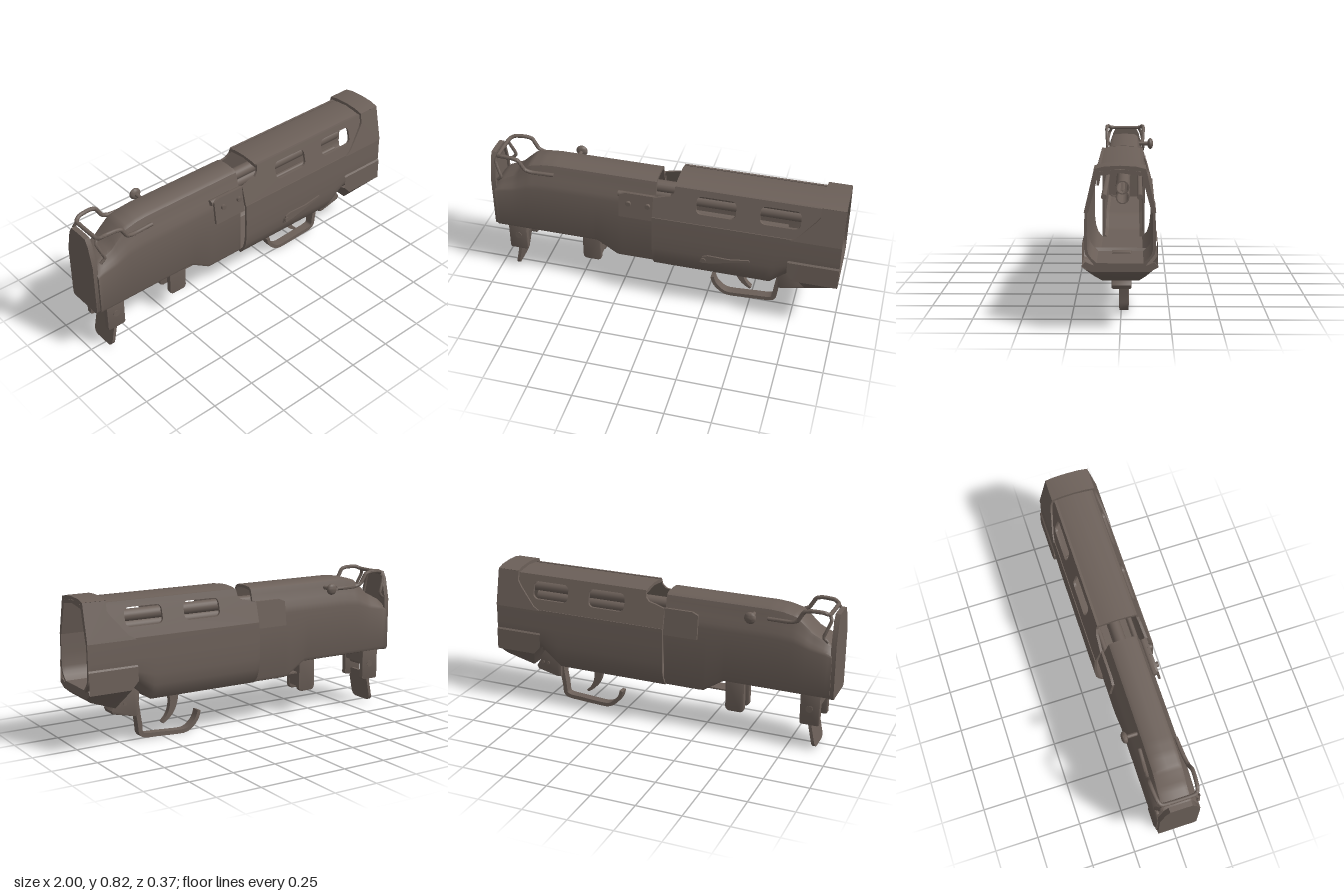
import * as THREE from 'three';
import { toCreasedNormals } from 'three/addons/utils/BufferGeometryUtils.js';

const material = new THREE.MeshStandardMaterial({ color: 0x6b5f58, side: THREE.DoubleSide });
const clamp = (v, a = 0, b = 1) => Math.min(b, Math.max(a, v));
const shapeOf = pts => new THREE.Shape(pts.map(p => new THREE.Vector2(p[0], p[1])));
const mirror = half => [...half, ...half.slice().reverse().filter(p => p[0] !== 0).map(([z, y]) => [-z, y])];

// Piecewise linear profile through [x, y] pairs
function profile(pts, x) {
  for (let i = 1; i < pts.length; i++) {
    const [a, b] = [pts[i - 1], pts[i]];
    if (x <= b[0]) return a[1] + (b[1] - a[1]) * clamp((x - a[0]) / (b[0] - a[0]));
  }
  return pts[pts.length - 1][1];
}

function roundRect(x0, y0, x1, y1, r) {
  const s = new THREE.Shape();
  s.absarc(x1 - r, y1 - r, r, 0, Math.PI / 2);
  s.absarc(x0 + r, y1 - r, r, Math.PI / 2, Math.PI);
  s.absarc(x0 + r, y0 + r, r, Math.PI, Math.PI * 1.5);
  s.absarc(x1 - r, y0 + r, r, Math.PI * 1.5, Math.PI * 2);
  s.closePath();
  return s;
}

// Closed band of given thickness around a smooth path
function ribbon(path, widths) {
  const curve = new THREE.SplineCurve(path.map(p => new THREE.Vector2(...p)));
  const a = [], b = [], n = 28;
  for (let i = 0; i <= n; i++) {
    const p = curve.getPoint(i / n), t = curve.getTangent(i / n);
    const w = (widths[0] + (widths[1] - widths[0]) * i / n) / 2;
    a.push([p.x - t.y * w, p.y + t.x * w]);
    b.unshift([p.x + t.y * w, p.y - t.x * w]);
  }
  return shapeOf([...a, ...b]);
}

export function createModel() {
  const model = new THREE.Group();

  function add(name, geo, crease = 0.6) {
    const mesh = new THREE.Mesh(toCreasedNormals(geo, crease), material);
    mesh.name = name;
    model.add(mesh);
    return mesh;
  }
  function warp(geo, rule) {
    const p = geo.attributes.position;
    for (let i = 0; i < p.count; i++) p.setXYZ(i, ...rule(p.getX(i), p.getY(i), p.getZ(i)));
    return geo;
  }
  // Cross-section (z, y) swept from x0 to x1
  function sweep(shape, x0, x1, steps = 1) {
    return new THREE.ExtrudeGeometry(shape, { depth: x1 - x0, steps, bevelEnabled: false, curveSegments: 8 })
      .rotateY(Math.PI / 2).translate(x0, 0, 0);
  }
  // Side outline (x, y) with thickness t about z
  function slab(shape, z, t, bevel = 0) {
    return new THREE.ExtrudeGeometry(shape, {
      depth: t - 2 * bevel, bevelEnabled: bevel > 0, bevelSize: bevel, bevelOffset: -bevel,
      bevelThickness: bevel, bevelSegments: 2, curveSegments: 6
    }).translate(0, 0, z - t / 2 + bevel);
  }
  function rod(name, r, len, pos, axis, r2 = r) {
    const g = new THREE.CylinderGeometry(r2, r, len, 20);
    if (axis === 'x') g.rotateZ(-Math.PI / 2);
    if (axis === 'z') g.rotateX(Math.PI / 2);
    return add(name, g.translate(...pos));
  }
  function wire(name, pts, r, segs = 90) {
    const c = new THREE.CatmullRomCurve3(pts.map(p => new THREE.Vector3(...p)), false, 'catmullrom', 0.25);
    add(name, new THREE.TubeGeometry(c, segs, r, 10), 1);
  }

  // Rear receiver: hollow, ramped at the back, deeper at the front
  const rearOuter = [[0.095, 0.33], [0.112, 0.337], [0.12, 0.355], [0.12, 0.63], [0.115, 0.665], [0.1, 0.7],
    [0.087, 0.75], [0.078, 0.778], [0.06, 0.79], [0, 0.794]];
  const rearInner = [[0.09, 0.345], [0.107, 0.36], [0.107, 0.63], [0.102, 0.66], [0.088, 0.695], [0.072, 0.75],
    [0.062, 0.772], [0, 0.779]];
  const rearShape = shapeOf(mirror(rearOuter));
  rearShape.holes.push(shapeOf(mirror(rearInner)));
  const ramp = [[-0.98, 0.61], [-0.95, 0.64], [-0.9, 0.665], [-0.86, 0.685], [-0.82, 0.725], [-0.77, 0.77], [-0.7, 0.788], [-0.63, 0.794]];
  const drop = [[-0.38, 0], [-0.26, 0.078]];
  add('rearReceiver', warp(sweep(rearShape, -0.98, -0.035, 54), (x, y, z) => {
    if (y > 0.55) y = 0.55 + (y - 0.55) * (profile(ramp, x) - 0.55) / 0.244;
    const low = clamp((0.45 - y) / 0.08);
    return [x, y - profile(drop, x) * low, z - 0.006];
  }));

  // End plate with a raised rim
  const plate = shapeOf(mirror([[0.1, 0.33], [0.11, 0.345], [0.11, 0.64], [0.082, 0.76], [0.06, 0.8], [0, 0.802]]));
  add('endPlate', sweep(plate, -1, -0.985).translate(0, 0, -0.01));
  const rim = plate.clone();
  rim.holes.push(shapeOf(mirror([[0.085, 0.35], [0.095, 0.36], [0.095, 0.64], [0.068, 0.75], [0.05, 0.785], [0, 0.787]])));
  add('endPlateRim', sweep(rim, -0.99, -0.972).translate(0, 0, -0.01));

  // Lower front housing: U-shaped shell whose floor rises near the mouth
  const uOuter = [[0.168, 0.605], [0.172, 0.5], [0.172, 0.4], [0.166, 0.34], [0.15, 0.295], [0.12, 0.255]];
  const uInner = [[0.155, 0.605], [0.158, 0.5], [0.158, 0.4], [0.151, 0.34], [0.138, 0.3], [0.112, 0.27]];
  const left = p => p.map(([z, y]) => [-z, y]);
  const uShape = shapeOf([...uOuter, ...left(uOuter).reverse(), ...left(uInner), ...uInner.slice().reverse()]);
  add('lowerHousing', warp(sweep(uShape, -0.04, 1, 52), (x, y, z) =>
    [x, y + 0.085 * clamp((x - 0.62) / 0.1) * clamp((0.45 - y) / 0.16), z]));

  // Slotted upper cover, hood cheeks and rear guide straps on both sides
  const lean = (f, shape, t, side) => warp(slab(shape, 0, t), (x, y, z) => [x, y, z + side * f(y)]);
  for (const side of [1, -1]) {
    const cover = shapeOf([[-0.04, 0.6], [1, 0.6], [1, 0.797], [0.08, 0.797], [0.075, 0.76], [0.055, 0.738],
      [0.02, 0.73], [-0.04, 0.712]]);
    for (const x of [0.2, 0.55]) cover.holes.push(roundRect(x, 0.662, x + 0.22, 0.762, 0.03));
    add('slottedCover', lean(y => 0.158 - (y - 0.6) * 0.27, cover, 0.014, side));
    const cheek = shapeOf([[0.72, 0.6], [1, 0.6], [1, 0.808], [0.87, 0.808], [0.87, 0.755], [0.85, 0.725], [0.76, 0.622]]);
    add('hoodCheek', lean(y => 0.163 - (y - 0.6) * 0.235, cheek, 0.018, side));
    const strap = shapeOf([[-0.235, 0.565], [-0.035, 0.565], [-0.035, 0.715], [-0.2, 0.715], [-0.235, 0.7]]);
    add('guideStrap', lean(y => 0.142 - (y - 0.565) * 0.13, strap, 0.014, side));
  }
  const roof = (w, y) => shapeOf([...mirror([[w, y - 0.016], [w * 0.6, y - 0.004], [0, y]]),
    [-w * 0.9, y - 0.03], [0, y - 0.016], [w * 0.9, y - 0.03]]);
  add('coverRoof', sweep(roof(0.112, 0.806), 0.077, 1));
  add('hoodRoof', sweep(roof(0.124, 0.825), 0.87, 1));

  // Flared scoop under the mouth
  const stations = [[0.72, 0.37, 0.15], [0.76, 0.31, 0.12], [0.815, 0.225, 0.092], [0.97, 0.285, 0.125], [1, 0.312, 0.14]];
  const verts = [], faces = [];
  for (const [x, yb, zb] of stations) {
    const out = [[0.17, 0.466], [0.18, 0.455], [0.183, Math.max(0.335, yb + 0.01)], [zb, yb]];
    for (const [z, y] of [...out, ...left(out).reverse()]) verts.push(x, y, z);
  }
  for (let i = 0; i < stations.length - 1; i++) for (let j = 0; j < 7; j++) {
    const a = i * 8 + j, b = a + 8;
    faces.push(a, a + 1, b, b, a + 1, b + 1);
  }
  const scoop = new THREE.BufferGeometry();
  scoop.setAttribute('position', new THREE.Float32BufferAttribute(verts, 3));
  scoop.setIndex(faces);
  add('scoop', scoop, 0.4);
  add('scoopLip', sweep(shapeOf(mirror([[0.14, 0.312], [0.183, 0.338], [0.165, 0.36], [0.13, 0.345]])), 0.985, 1));
  add('mouthBlock', new THREE.BoxGeometry(0.14, 0.035, 0.042).translate(0.91, 0.335, -0.015));

  // Inner tubes and side rods
  const tubeShape = new THREE.Shape().absarc(0, 0, 0.034, 0, Math.PI * 2);
  tubeShape.holes.push(new THREE.Path().absarc(0, 0, 0.028, 0, Math.PI * 2));
  add('upperTube', sweep(tubeShape, -0.3, 0.86).translate(0, 0.698, -0.01));
  add('lowerTube', sweep(tubeShape, -0.3, 0.8).translate(0, 0.64, -0.01));
  for (const z of [0.085, -0.095]) rod('guideRod', 0.014, 0.9, [0.25, 0.625, z], 'x');
  rod('boltRod', 0.016, 0.21, [-0.14, 0.692, 0.108], 'x');

  // Sling wire with its hooks
  const half = [[-0.62, 0.733, 0.1], [-0.74, 0.735, 0.107], [-0.785, 0.75, 0.112], [-0.82, 0.805, 0.115],
    [-0.86, 0.815, 0.114], [-0.92, 0.813, 0.108], [-0.95, 0.8, 0.085]];
  wire('slingWire', [...half, ...half.slice().reverse().map(([x, y, z]) => [x, y, -z])]
    .map(([x, y, z]) => [x, y, z - 0.006]), 0.011, 140);
  for (const s of [1, -1]) wire('slingHook', [[-0.95, 0.8, 0.085], [-0.962, 0.77, 0.1], [-0.94, 0.71, 0.114],
    [-0.93, 0.68, 0.116], [-0.955, 0.655, 0.112]].map(([x, y, z]) => [x, y, s * z - 0.006]), 0.009, 30);

  // Side knob, strap screws and safety lever
  rod('knobStem', 0.011, 0.08, [-0.54, 0.745, -0.115], 'z');
  add('knob', new THREE.SphereGeometry(1, 20, 14).scale(0.033, 0.033, 0.018).translate(-0.54, 0.745, -0.162), 1);
  for (const x of [-0.18, -0.07]) rod('strapScrew', 0.015, 0.02, [x, 0.655, 0.14], 'z');
  add('lever', slab(shapeOf([[0.235, 0.36], [0.25, 0.4], [0.28, 0.412], [0.4, 0.408], [0.51, 0.424], [0.515, 0.414],
    [0.36, 0.378], [0.3, 0.362]]), 0.174, 0.014));
  rod('leverPivot', 0.015, 0.024, [0.255, 0.378, 0.175], 'z');

  // Rear lug with swinging blade
  for (const z of [0.068, -0.098]) add('rearLugEar', slab(roundRect(-0.93, 0.16, -0.82, 0.345, 0.014), z, 0.032, 0.004));
  add('rearLugWeb', new THREE.BoxGeometry(0.1, 0.07, 0.15).translate(-0.873, 0.3, -0.015));
  rod('lugPin', 0.02, 0.205, [-0.872, 0.255, -0.015], 'z');
  add('blade', warp(sweep(roundRect(-0.068, 0.018, 0.098, 0.2, 0.035), -0.911, -0.893),
    (x, y, z) => [x + (y - 0.02) * 0.2, y, z]));

  // Front catch and its thin spring plate
  for (const z of [0.035, -0.06]) add('catchEar', slab(roundRect(-0.49, 0.14, -0.38, 0.34, 0.025), z, 0.032, 0.006));
  add('catchWeb', new THREE.BoxGeometry(0.025, 0.16, 0.08).translate(-0.395, 0.25, -0.012));
  add('springPlate', new THREE.BoxGeometry(0.25, 0.008, 0.08).translate(-0.265, 0.25, -0.012));

  // Trigger, guard and bracket
  add('trigger', slab(ribbon([[0.425, 0.265], [0.428, 0.2], [0.44, 0.15], [0.465, 0.11], [0.5, 0.08]], [0.06, 0.012]), -0.012, 0.03));
  add('triggerRoot', slab(shapeOf([[0.35, 0.258], [0.49, 0.258], [0.455, 0.225], [0.45, 0.19], [0.415, 0.2], [0.395, 0.235]]), -0.012, 0.032));
  add('triggerGuard', slab(ribbon([[0.275, 0.12], [0.285, 0.085], [0.31, 0.05], [0.36, 0.018], [0.45, 0.019], [0.54, 0.025],
    [0.605, 0.029], [0.638, 0.045], [0.645, 0.1], [0.66, 0.2], [0.67, 0.28]], [0.02, 0.027]), -0.015, 0.048));
  add('guardBracket', slab(shapeOf([[0.65, 0.3], [0.68, 0.36], [0.79, 0.36], [0.79, 0.25], [0.82, 0.2], [0.81, 0.18],
    [0.68, 0.15], [0.66, 0.155], [0.655, 0.22]]), -0.005, 0.1, 0.008));
  for (const x of [0.74, 0.775]) rod('bracketPin', 0.01, 0.11, [x, 0.23, -0.005], 'z');

  return model;
}
